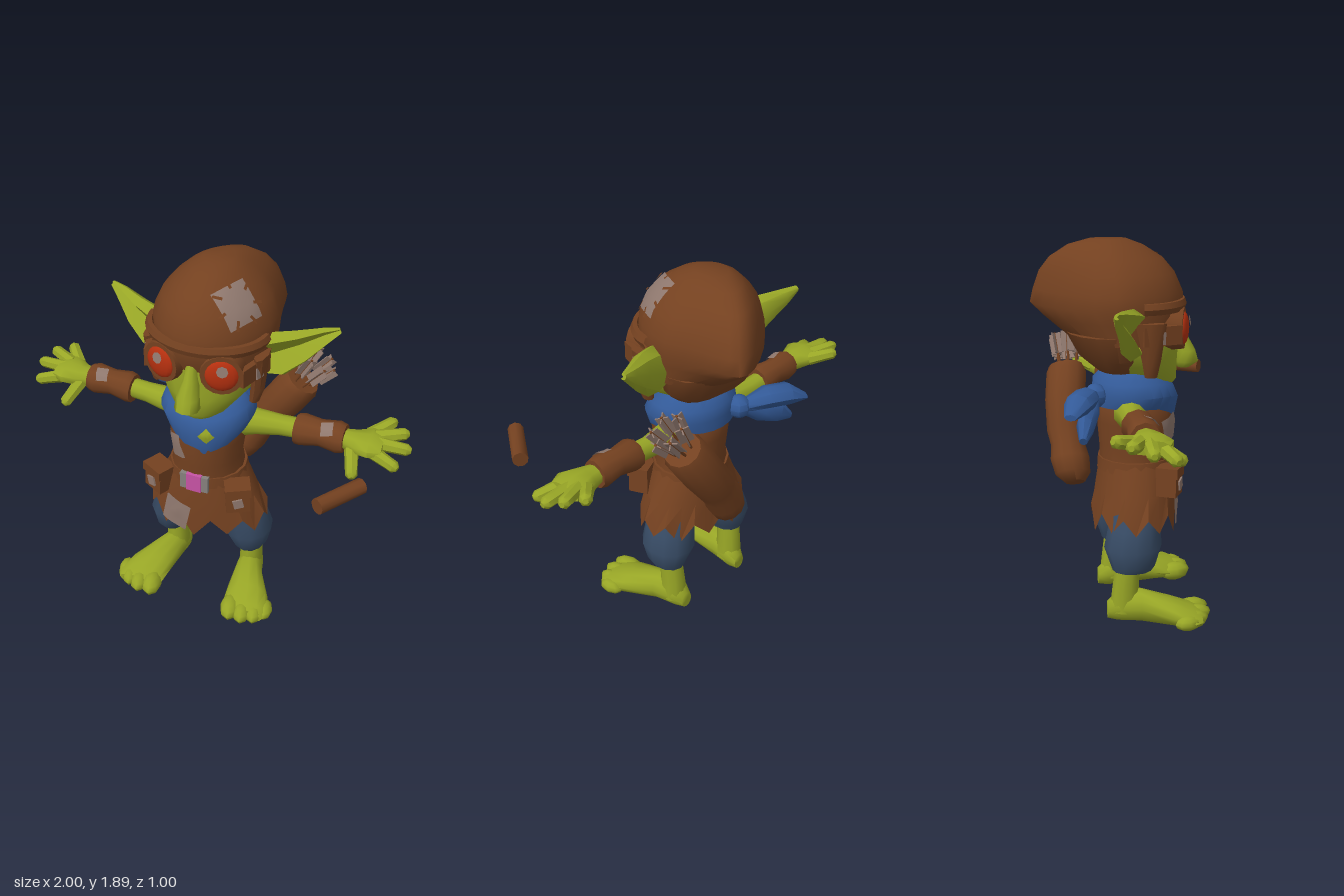
import * as THREE from 'three';
import { toCreasedNormals } from 'three/addons/utils/BufferGeometryUtils.js';

const V = (a) => new THREE.Vector3(a[0], a[1], a[2]);
const Y = [0, 1, 0];

// Skin elliptical rings [x, y, z, upRadius, sideRadius]; for upright shapes the radii run along z, x.
function loft(rings, n = 12, axis = null, dent = 0, capped = true) {
  const d = (axis ? V(axis) : V(rings.at(-1)).sub(V(rings[0]))).normalize();
  const ref = Math.abs(d.y) > 0.8 ? new THREE.Vector3(0, 0, 1) : new THREE.Vector3(0, 1, 0);
  const u = ref.addScaledVector(d, -ref.dot(d)).normalize();
  const v = d.clone().cross(u);
  const pos = [], idx = [];
  for (const r of rings) {
    for (let i = 0; i < n; i++) {
      const a = (i / n) * Math.PI * 2, s = Math.sin(a);
      const b = (r[4] ?? r[3]) * (dent * s > 0.9 ? -0.2 : 1);
      pos.push(...V(r).addScaledVector(u, r[3] * Math.cos(a)).addScaledVector(v, b * s).toArray());
    }
  }
  const last = (rings.length - 1) * n;
  for (let j = 0; j < last; j += n) {
    for (let i = 0; i < n; i++) {
      const k = (i + 1) % n;
      idx.push(j + i, j + k, j + n + k, j + i, j + n + k, j + n + i);
    }
  }
  if (capped) {
    const c = pos.length / 3;
    pos.push(...rings[0].slice(0, 3), ...rings.at(-1).slice(0, 3));
    for (let i = 0; i < n; i++) {
      const k = (i + 1) % n;
      idx.push(c, k, i, c + 1, last + i, last + k);
    }
  }
  const g = new THREE.BufferGeometry();
  g.setAttribute('position', new THREE.Float32BufferAttribute(pos, 3));
  g.setIndex(idx);
  return g;
}

// Move every vertex by a rule.
function warp(g, rule) {
  const p = g.attributes.position, q = new THREE.Vector3();
  for (let i = 0; i < p.count; i++) {
    q.fromBufferAttribute(p, i);
    rule(q, i);
    p.setXYZ(i, q.x, q.y, q.z);
  }
  return g;
}

export function createModel() {
  const model = new THREE.Group();
  model.name = 'goblin';
  const mat = (name, color, side = THREE.FrontSide) => {
    const m = new THREE.MeshStandardMaterial({ color, side });
    m.name = name;
    return m;
  };
  const skin = mat('green skin', 0x98a626);
  const leather = mat('brown leather', 0x744120, THREE.DoubleSide);
  const scarfBlue = mat('scarf blue', 0x335a98);
  const denim = mat('dark blue cloth', 0x384c66);
  const patchGrey = mat('grey patch', 0x8f786e, THREE.DoubleSide);
  const red = mat('red glass', 0xb5300f);
  const pink = mat('pink buckle', 0xc653a4);
  const metal = mat('grey metal', 0x85807c);

  const add = (name, geo, material, crease = 0.8) => {
    const m = new THREE.Mesh(toCreasedNormals(geo, crease), material);
    m.name = name;
    model.add(m);
    return m;
  };
  const box = (name, size, at, material, rot = [0, 0, 0]) => {
    const m = add(name, new THREE.BoxGeometry(...size), material);
    m.position.set(...at);
    m.rotation.set(...rot);
  };
  // Lay a thin patch onto the surface of another part.
  const ray = new THREE.Raycaster();
  const drape = (name, target, at, dir, w, h, spin, material, lift = 0.008) => {
    const n = V(dir).normalize();
    const g = new THREE.PlaneGeometry(w, h, 5, 5).rotateZ(spin);
    const q = new THREE.Quaternion().setFromRotationMatrix(
      new THREE.Matrix4().lookAt(n, new THREE.Vector3(), new THREE.Vector3(0, 1, 0.01)));
    target.updateMatrixWorld();
    warp(g.applyQuaternion(q).translate(...at), (p) => {
      ray.set(p.clone().addScaledVector(n, 0.4), n.clone().negate());
      const hit = ray.intersectObject(target)[0];
      if (hit && hit.point.distanceTo(p) < 0.15) p.copy(hit.point).addScaledVector(n, lift);
    });
    g.computeVertexNormals();
    add(name, g, material, 1.2);
  };

  // Head and nose
  add('head', loft([[0, 1.17, 0.1, 0.08, 0.08], [0, 1.21, 0.07, 0.14, 0.135], [0, 1.3, 0.01, 0.2, 0.215],
    [0, 1.38, -0.02, 0.235, 0.255], [0, 1.55, -0.03, 0.24, 0.265]], 16, Y), skin);
  add('neck', loft([[0, 1.05, -0.03, 0.12], [0, 1.3, -0.03, 0.12]], 10, Y), skin);
  add('nose', loft([[0, 1.255, 0.245, 0.03, 0.03], [0, 1.285, 0.26, 0.06, 0.062], [0, 1.34, 0.25, 0.055, 0.055],
    [0, 1.42, 0.21, 0.05, 0.035], [0, 1.5, 0.2, 0.03, 0.025]], 10, Y), skin, 1.2);

  // Cap drooping backwards, with hood and brim
  const cap = add('cap', warp(loft([[0, 1.41, -0.06, 0.25, 0.285], [0, 1.51, -0.1, 0.335, 0.295], [0, 1.57, -0.13, 0.37, 0.305],
    [0, 1.64, -0.125, 0.36, 0.3], [0, 1.73, -0.13, 0.325, 0.26], [0, 1.8, -0.135, 0.27, 0.2], [0, 1.86, -0.14, 0.18, 0.13],
    [0, 1.89, -0.13, 0.09, 0.075]], 24, Y), (p) => {
    const t = Math.max(0, (-0.12 - p.z) / 0.38);
    p.x = p.x * (1 - 0.4 * t) + 0.17 * t * t;
  }), leather, 1.1);
  add('hood', loft([[0, 1.26, -0.09, 0.1, 0.17], [0, 1.33, -0.11, 0.165, 0.25], [0, 1.45, -0.13, 0.21, 0.28]], 16, Y), leather);
  const brim = add('capBrim', new THREE.TorusGeometry(1, 0.08, 6, 18, Math.PI).rotateX(Math.PI / 2), leather);
  brim.scale.set(0.285, 0.38, 0.232);
  brim.position.set(0, 1.585, 0);
  drape('capPatch', cap, [0.16, 1.76, 0.06], [0.5, 0.65, 0.55], 0.18, 0.19, 0.3, patchGrey);
  for (let i = 0; i < 7; i++) {
    const a = i * 0.9, e = V([0.74, 0, -0.67]), f = V([-0.44, 0.75, -0.48]);
    const c = V([0.16, 1.76, 0.06]).addScaledVector(e, Math.cos(a) * 0.1).addScaledVector(f, Math.sin(a) * 0.1);
    drape('capStitch', cap, c.toArray(), [0.5, 0.65, 0.55], 0.045, 0.014, a, leather, 0.014);
  }

  // Scarf with a front point, and two tails behind
  const scarf = add('scarf', warp(loft([[0, 1.09, -0.01, 0.205, 0.215], [0, 1.15, 0, 0.215, 0.24], [0, 1.21, -0.01, 0.2, 0.22],
    [0, 1.26, -0.02, 0.14, 0.17]], 24, Y), (p) => {
    const f = Math.min(1, Math.max(0, p.z / 0.13)) * Math.max(0, 1 - Math.abs(p.x - 0.04) / 0.24);
    p.y -= f * (p.y < 1.12 ? 0.12 : p.y < 1.18 ? 0.05 : 0.045);
  }), scarfBlue);
  add('scarfKnot', new THREE.SphereGeometry(0.06, 8, 6).translate(-0.12, 1.15, -0.21), scarfBlue);
  add('scarfTail', loft([[-0.12, 1.15, -0.22, 0.03, 0.03], [-0.25, 1.17, -0.27, 0.055, 0.065],
    [-0.36, 1.165, -0.32, 0.055, 0.065], [-0.45, 1.13, -0.36, 0.015, 0.03]], 8), scarfBlue);
  add('scarfTail', loft([[-0.12, 1.15, -0.22, 0.03, 0.03], [-0.24, 1.09, -0.25, 0.06, 0.045],
    [-0.33, 1.055, -0.28, 0.06, 0.045], [-0.41, 1.005, -0.3, 0.02, 0.02]], 8), scarfBlue);
  drape('scarfHole', scarf, [0.07, 1.1, 0.2], [0.2, 0, 1], 0.06, 0.06, 0.8, skin);

  // Tunic, ragged skirt and belt
  const tunic = add('tunic', loft([[0, 0.74, 0, 0.18, 0.2], [0, 0.88, 0.005, 0.185, 0.175], [0, 1.0, 0.005, 0.195, 0.19],
    [0, 1.1, 0, 0.19, 0.185], [0, 1.16, -0.01, 0.13, 0.15]], 16, Y), leather);
  const skirtN = 22;
  const skirt = add('skirt', warp(loft([[0, 0.54, -0.01, 0.215, 0.32], [0, 0.66, 0, 0.2, 0.265], [0, 0.8, 0, 0.18, 0.2]],
    skirtN, Y, 0, false), (p, i) => {
    if (i < skirtN) p.y += i % 2 ? 0.02 : -0.05 - 0.05 * Math.abs(Math.cos(i / skirtN * Math.PI * 2)) * (i % 4 ? 0.3 : 1);
  }), leather, 0.4);
  add('belt', loft([[0, 0.755, 0, 0.192, 0.212], [0, 0.815, 0, 0.188, 0.2]], 16, Y), leather);
  box('buckle', [0.15, 0.09, 0.04], [0, 0.785, 0.178], metal);
  box('buckleCentre', [0.08, 0.1, 0.04], [0, 0.785, 0.182], pink);
  drape('chestPatch', tunic, [-0.11, 0.97, 0.16], [-0.5, 0, 1], 0.11, 0.13, 0.3, patchGrey);
  drape('skirtPatch', skirt, [-0.1, 0.56, 0.2], [-0.15, 0, 1], 0.15, 0.17, -0.2, patchGrey, 0.014);

  for (const s of [1, -1]) {
    const m = (rings) => rings.map(([x, ...r]) => [x * s, ...r]);

    // Pointed ear, hollow at the front, and cap ear flap
    add('ear', loft(m([[0.25, 1.455, -0.04, 0.1, 0.06], [0.31, 1.475, -0.055, 0.125, 0.07], [0.42, 1.525, -0.09, 0.088, 0.055],
      [0.52, 1.575, -0.14, 0.045, 0.032], [0.585, 1.605, -0.165, 0.014, 0.014]]), 8, null, s), skin, 0.7);
    add('earFlap', loft(m([[0.25, 1.26, 0.04, 0.03, 0.025], [0.265, 1.34, 0.04, 0.045, 0.035], [0.28, 1.52, 0.03, 0.08, 0.03]]), 8, Y), leather);

    // Goggle cup, lens, highlight and strap
    const goggle = new THREE.Group();
    goggle.name = 'goggle';
    const put = (name, geo, material, x, y, z) => {
      const part = new THREE.Mesh(geo, material);
      part.name = name;
      part.position.set(x, y, z);
      goggle.add(part);
    };
    put('goggleCup', toCreasedNormals(new THREE.CylinderGeometry(0.1, 0.112, 0.11, 16).rotateX(Math.PI / 2), 0.8), leather, 0, 0, -0.035);
    put('lens', new THREE.SphereGeometry(0.08, 16, 10).scale(1, 1, 0.35), red, 0, 0, 0.015);
    put('lensHighlight', new THREE.CircleGeometry(0.028, 8).rotateX(-0.2), patchGrey, 0.005, 0.037, 0.046);
    goggle.position.set(0.147 * s, 1.475, 0.198);
    goggle.rotation.y = 0.3 * s;
    model.add(goggle);
    box('goggleStrap', [0.03, 0.09, 0.2], [0.265 * s, 1.46, 0.09], leather, [0, -0.3 * s, 0]);
    box('strapPatch', [0.009, 0.06, 0.05], [0.286 * s, 1.45, 0.08], patchGrey, [0, -0.3 * s, 0.1]);

    // Arm, bracer and hand
    add('arm', loft(m([[0.12, 1.06, -0.04, 0.09], [0.24, 1.07, -0.05, 0.065], [0.36, 1.075, -0.06, 0.052], [0.5, 1.085, -0.06, 0.05]]), 10), skin);
    const bracer = add('bracer', loft(m([[0.44, 1.08, -0.055, 0.075], [0.47, 1.085, -0.055, 0.08], [0.56, 1.09, -0.055, 0.066],
      [0.65, 1.09, -0.055, 0.079], [0.685, 1.09, -0.055, 0.07]]), 10), leather);
    drape('bracerPatch', bracer, [0.6 * s, 1.14, -0.02], [0, 1, 0.6], 0.06, 0.07, 0.2, patchGrey);
    add('palm', loft(m([[0.67, 1.09, -0.055, 0.045, 0.05], [0.74, 1.09, -0.05, 0.052, 0.075], [0.81, 1.1, -0.06, 0.05, 0.11],
      [0.87, 1.1, -0.065, 0.032, 0.09]]), 10), skin, 1);
    const fingers = [[[0.79, 1.1, -0.12], [0.885, 1.14, -0.225]], [[0.82, 1.11, -0.1], [0.965, 1.13, -0.16]],
      [[0.83, 1.105, -0.06], [1, 1.1, -0.07]], [[0.82, 1.09, -0.01], [0.965, 1.06, 0.04]], [[0.73, 1.07, -0.01], [0.77, 0.995, 0.11]]];
    for (const [a, b] of fingers) {
      const mid = a.map((c, i) => c * 0.4 + b[i] * 0.6), tip = a.map((c, i) => c * 0.12 + b[i] * 0.88);
      add('finger', loft(m([[...a, 0.036], [...mid, 0.031], [...tip, 0.03], [...b, 0.014]]), 7), skin);
    }

    // Trouser leg, shin, foot and toes
    add('trouserLeg', loft(m([[0.225, 0.28, -0.045, 0.1, 0.08], [0.225, 0.31, -0.04, 0.115, 0.095], [0.21, 0.4, -0.04, 0.145, 0.13],
      [0.185, 0.5, -0.03, 0.13, 0.125], [0.13, 0.66, -0.01, 0.14, 0.125]]), 12, Y), denim, 0.9);
    add('shin', loft(m([[0.22, 0.06, -0.08, 0.08, 0.065], [0.22, 0.17, -0.08, 0.068, 0.06], [0.225, 0.31, -0.07, 0.06, 0.058]]), 10, Y), skin, 1);
    add('foot', loft(m([[0.21, 0.06, -0.17, 0.045, 0.035], [0.215, 0.08, -0.12, 0.075, 0.06], [0.235, 0.09, -0.01, 0.085, 0.075],
      [0.285, 0.07, 0.14, 0.065, 0.115], [0.31, 0.053, 0.24, 0.05, 0.128], [0.315, 0.05, 0.28, 0.035, 0.1]]), 12, [0, 0, 1]), skin, 1);
    for (const [x, z, r] of [[0.23, 0.255, 0.056], [0.3, 0.265, 0.05], [0.36, 0.245, 0.047], [0.408, 0.205, 0.042]]) {
      add('toe', new THREE.SphereGeometry(r, 8, 6).scale(0.95, 0.88, 1.6).rotateY(0.2).translate(x * s, 0.052, z), skin, 1.2);
    }

    // Belt pouch
    box('pouch', [0.12, 0.13, 0.1], [0.212 * s, 0.725, 0.14], leather, [0, 0.45 * s, 0.06 * s]);
    box('pouchFlap', [0.13, 0.05, 0.11], [0.214 * s, 0.78, 0.143], leather, [0, 0.45 * s, 0.06 * s]);
    box('pouchPatch', [0.05, 0.05, 0.009], [0.238 * s, 0.72, 0.191], patchGrey, [0, 0.45 * s, 0.25]);
  }

  // Quiver slung across the back
  add('quiver', loft([[0.04, 0.66, -0.3, 0.05], [0.06, 0.7, -0.31, 0.09], [0.1, 0.77, -0.32, 0.1], [0.14, 0.83, -0.325, 0.088],
    [0.18, 0.9, -0.33, 0.1], [0.28, 1.04, -0.325, 0.105], [0.36, 1.165, -0.31, 0.105], [0.38, 1.195, -0.31, 0.09]], 12), leather);

  // Arrows with crossed feathers
  for (let i = 0; i < 6; i++) {
    const a = i * 1.05, arrow = new THREE.Group();
    arrow.name = 'arrow';
    const shaft = new THREE.Mesh(new THREE.CylinderGeometry(0.007, 0.007, 0.26, 5), leather);
    shaft.name = 'arrowShaft';
    arrow.add(shaft);
    for (const r of [0, Math.PI / 2]) {
      const f = new THREE.Mesh(new THREE.BoxGeometry(0.065, 0.11, 0.006), patchGrey);
      f.name = 'arrowFeather';
      f.position.y = 0.07;
      f.rotation.y = r + a;
      arrow.add(f);
    }
    arrow.position.set(0.4 + Math.cos(a) * 0.045, 1.235 - Math.cos(a) * 0.03, -0.3 + Math.sin(a) * 0.055);
    arrow.rotation.set(Math.sin(a) * 0.15, 0, -0.6 - Math.cos(a) * 0.2);
    model.add(arrow);
  }

  // Loose wooden stick
  add('woodenStick', loft([[0.715, 1.1, 0.48, 0.038], [0.855, 1.1, 0.265, 0.038]], 9), leather);
  return model;
}
